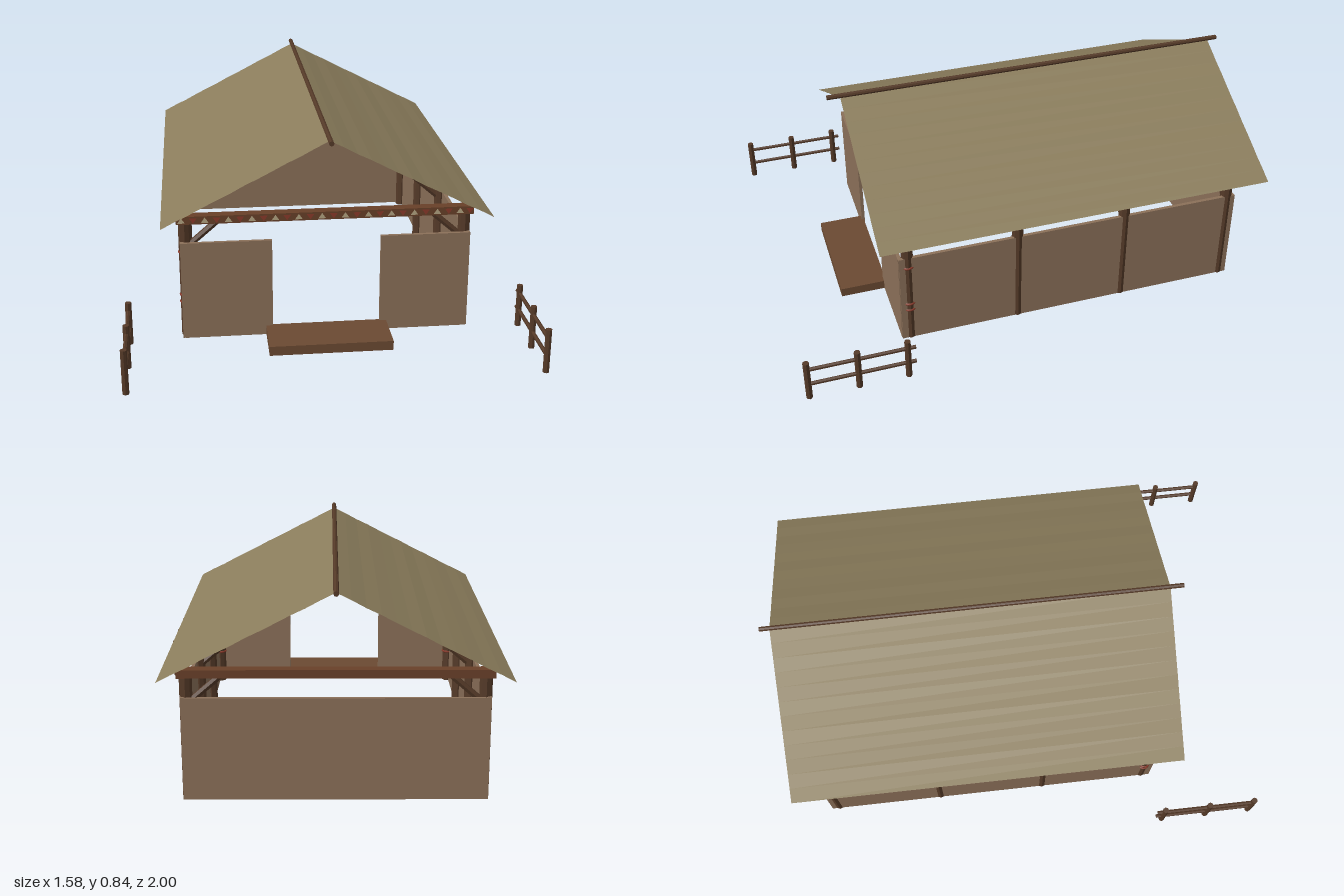
import * as THREE from 'three';

const mat = (color, extra = {}) => new THREE.MeshStandardMaterial({ color, ...extra });
const M = {
  wood: mat(0x553a28, { flatShading: true }),
  beam: mat(0x694029),
  wall: mat(0x8b7059),
  plank: mat(0x6b4a32),
  thatch: mat(0x8b7d5c, { side: THREE.DoubleSide, flatShading: true }),
  pale: mat(0xb5a582, { side: THREE.DoubleSide }),
  red: mat(0x8a3a2a, { side: THREE.DoubleSide }),
};

export function createModel() {
  const model = new THREE.Group();
  const add = (name, geo, material, x = 0, y = 0, z = 0) => {
    const mesh = new THREE.Mesh(geo, material);
    mesh.name = name;
    mesh.position.set(x, y, z);
    model.add(mesh);
    return mesh;
  };
  // box given by its min and max corners
  const box = (name, material, [x0, y0, z0], [x1, y1, z1]) =>
    add(name, new THREE.BoxGeometry(x1 - x0, y1 - y0, z1 - z0), material,
      (x0 + x1) / 2, (y0 + y1) / 2, (z0 + z1) / 2);
  // round log between two points
  const log = (name, a, b, r, sides = 8, material = M.wood) => {
    const p = new THREE.Vector3(...a), q = new THREE.Vector3(...b);
    const mesh = add(name, new THREE.CylinderGeometry(r, r, p.distanceTo(q), sides), material);
    mesh.position.copy(p).add(q).multiplyScalar(0.5);
    mesh.quaternion.setFromUnitVectors(new THREE.Vector3(0, 1, 0), q.sub(p).normalize());
    return mesh;
  };

  // back wall and entrance step
  box('backWall', M.wall, [-0.566, 0, -0.857], [0.566, 0.4, -0.843]);
  box('entranceStep', M.plank, [-0.24, 0, 0.565], [0.24, 0.038, 0.757]);

  const postZ = [0.535, 0.085, -0.37, -0.825];
  for (const s of [-1, 1]) {
    const side = s > 0 ? 'left' : 'right';
    // walls: long side and short front panel beside the doorway
    box(side + 'SideWall', M.wall, [s > 0 ? 0.554 : -0.568, 0, -0.857], [s > 0 ? 0.568 : -0.554, 0.402, 0.572]);
    box(side + 'FrontPanel', M.wall, [s > 0 ? 0.213 : -0.561, 0, 0.56], [s > 0 ? 0.561 : -0.213, 0.402, 0.574]);

    // posts with inward braces
    for (const z of postZ) {
      log(side + 'Post', [s * 0.549, 0, z], [s * 0.549, 0.5, z], 0.024);
      log(side + 'Brace', [s * 0.54, 0.375, z], [s * 0.405, 0.492, z], 0.013, 6);
    }

    // lashings on the front posts
    for (const y of [0.145, 0.175, 0.355]) {
      const ring = add(side + 'Lashing', new THREE.TorusGeometry(0.023, 0.005, 6, 16), M.red, s * 0.549, y, 0.535);
      ring.rotation.x = Math.PI / 2;
    }

    // roof slope: lightly rippled thatch sheet
    const slope = new THREE.PlaneGeometry(1, 1, 12, 1);
    const pos = slope.attributes.position;
    for (let i = 0; i < pos.count; i++) {
      const t = pos.getX(i) + 0.5;
      const col = Math.round(t * 12);
      const ripple = col % 12 ? 0.0012 * Math.sin(col * 2.4) : 0;
      pos.setXYZ(i, s * 0.638 * t, 0.823 - 0.328 * t + ripple, -0.152 - pos.getY(i) * 1.616);
    }
    if (s < 0) slope.setIndex([...slope.index.array].reverse());
    slope.computeVertexNormals();
    add(side + 'RoofSlope', slope, M.thatch);

    // fence beside the approach
    for (const z of [0.987, 0.793, 0.598])
      log(side + 'FencePost', [s * 0.775, 0, z], [s * 0.775, 0.176, z], 0.0125);
    for (const y of [0.068, 0.14])
      log(side + 'FenceRail', [s * 0.775, y, 0.566], [s * 0.775, y, 0.987], 0.008, 6);
  }

  // ridge pole
  log('ridgePole', [0, 0.829, -1], [0, 0.829, 0.71], 0.01);

  // cross beams over the front and back posts
  box('frontBeam', M.beam, [-0.58, 0.476, 0.522], [0.58, 0.508, 0.564]);
  box('backBeam', M.beam, [-0.58, 0.476, -0.857], [0.58, 0.508, -0.815]);

  // alternating triangle ornament on the front beam
  const triangle = new THREE.ShapeGeometry(new THREE.Shape([
    new THREE.Vector2(-0.015, -0.01), new THREE.Vector2(0.015, -0.01), new THREE.Vector2(0, 0.012)]));
  for (let i = 0; i < 26; i++) {
    const t = add('beamTriangle', triangle, i % 2 ? M.red : M.pale, -0.56 + i * 0.0452 - (i === 25 ? 0.006 : 0), 0.492, 0.566);
    if (i % 2) t.rotation.z = Math.PI;
  }
  return model;
}
